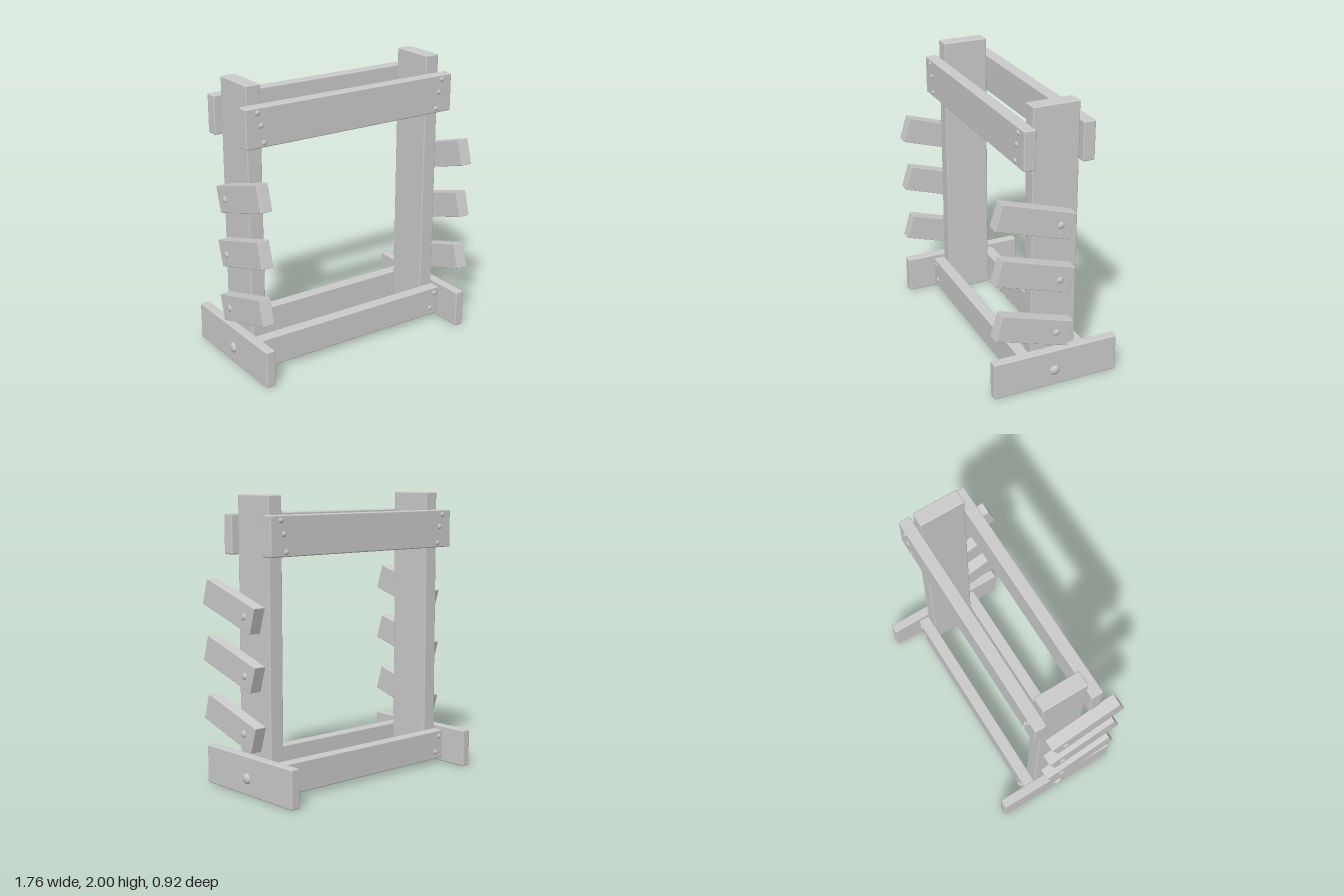
import * as THREE from 'three';
import { RoundedBoxGeometry } from 'three/addons/geometries/RoundedBoxGeometry.js';

const material = new THREE.MeshStandardMaterial({ color: 0xcccccc });

// Plank with softened edges, given by its extents on each axis
function plank(name, [x0, x1], [y0, y1], [z0, z1], bevel = 0.008) {
  const mesh = new THREE.Mesh(
    new RoundedBoxGeometry(x1 - x0, y1 - y0, z1 - z0, 2, bevel), material);
  mesh.position.set((x0 + x1) / 2, (y0 + y1) / 2, (z0 + z1) / 2);
  mesh.name = name;
  return mesh;
}

// Domed bolt head whose dome points along the given axis
const up = new THREE.Vector3(0, 1, 0);
function bolt(name, radius, height, position, axis) {
  const dome = new THREE.SphereGeometry(radius, 20, 8, 0, Math.PI * 2, 0, Math.PI / 2);
  dome.scale(1, height / radius, 1);
  const mesh = new THREE.Mesh(dome, material);
  mesh.position.set(...position);
  mesh.quaternion.setFromUnitVectors(up, new THREE.Vector3(...axis));
  mesh.name = name;
  return mesh;
}

export function createModel() {
  const model = new THREE.Group();
  model.name = 'storageRack';

  // Sides: post, foot and three tilted arms each
  for (const s of [1, -1]) {
    const side = new THREE.Group();
    side.name = s > 0 ? 'leftSide' : 'rightSide';
    const span = (a, b) => (s > 0 ? [a, b] : [-b, -a]);

    side.add(plank('post', span(0.672, 0.78), [0, 2], [-0.163, 0.163]));
    side.add(plank('foot', span(0.78, 0.848), [0.003, 0.27], [-0.457, 0.458]));
    side.add(bolt('footBolt', 0.037, 0.02, [s * 0.847, 0.118, 0.012], [s, 0, 0]));

    [[1.265, 1.21, 0], [0.877, 0.815, -0.002], [0.472, 0.425, 0.014]].forEach(([y, boltY, boltZ]) => {
      const arm = plank('arm', span(0.78, 0.867), [y - 0.092, y + 0.092], [-0.1, 0.444], 0.004);
      arm.rotation.x = -THREE.MathUtils.degToRad(17);
      side.add(arm);
      side.add(bolt('armBolt', 0.024, 0.012, [s * 0.866, boltY, boltZ], [s, 0, 0]));
    });
    model.add(side);
  }

  // Front and back rails with their bolts
  for (const f of [1, -1]) {
    const rails = new THREE.Group();
    rails.name = f > 0 ? 'frontRails' : 'backRails';
    const depth = f > 0 ? [0.163, 0.248] : [-0.248, -0.163];

    rails.add(plank('upperRail', [-0.835, 0.832], [1.605, 1.873], depth));
    rails.add(plank('lowerRail', [-0.78, 0.78], [0.03, 0.243], depth));

    for (const s of [1, -1]) {
      for (const [x, y] of [[0.748, 1.84], [0.723, 1.753], [0.703, 1.637]])
        rails.add(bolt('upperRailBolt', 0.018, 0.011, [s * x, y, f * 0.247], [0, 0, f]));
      for (const [x, y] of [[0.743, 0.2], [0.707, 0.085]])
        rails.add(bolt('lowerRailBolt', 0.019, 0.011, [s * x, y, f * 0.247], [0, 0, f]));
    }
    model.add(rails);
  }
  return model;
}
